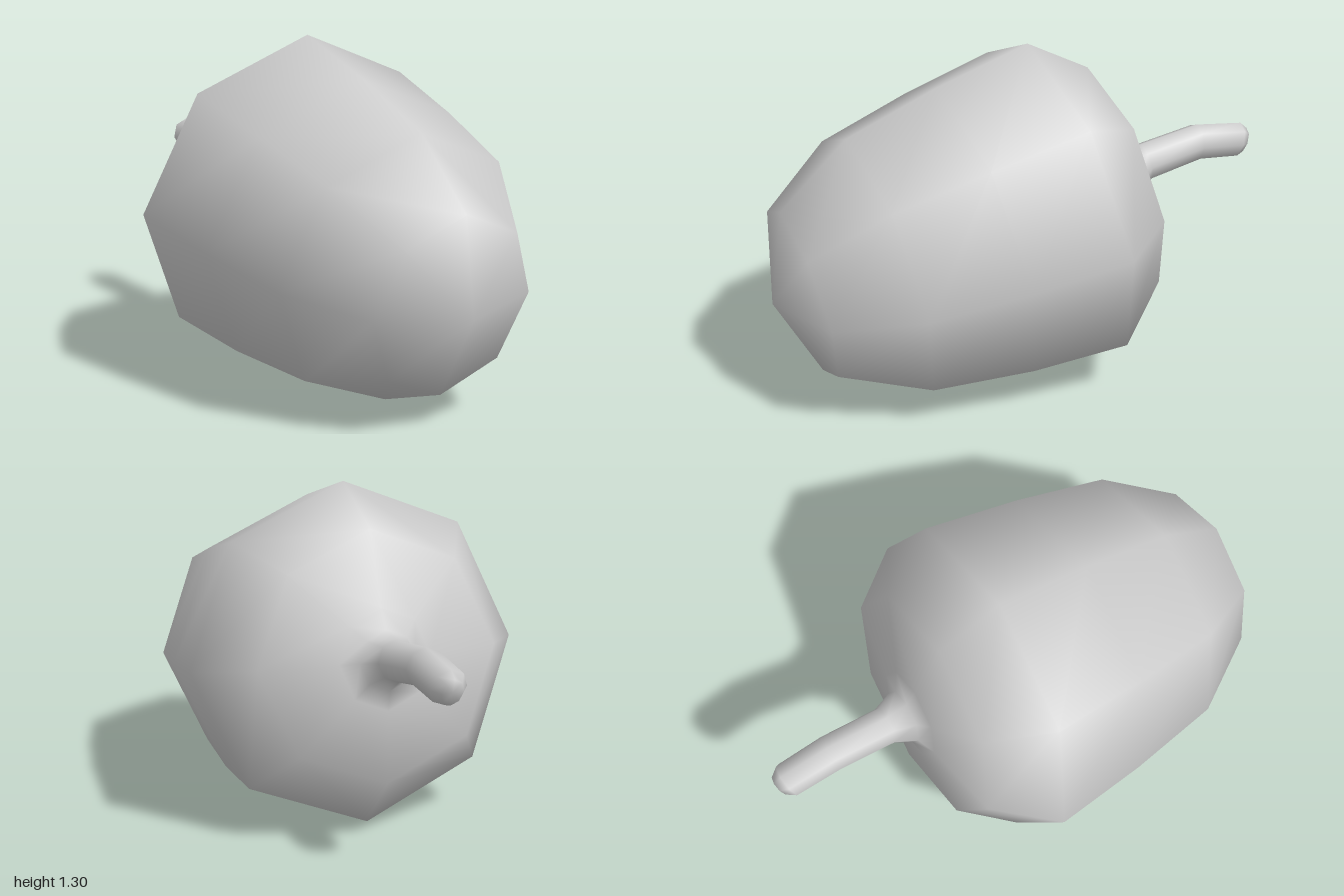
import * as THREE from 'three';

const SIDES = 8;

// Tilted cross-sections from front to back: [top z, top y, bottom z, bottom y, half width]
const FRUIT = [
  [0.95, 0.80, 0.82, 0.12, 0.34],
  [0.69, 1.04, 0.49, 0.005, 0.53],
  [0.34, 1.18, 0.10, 0.0, 0.60],
  [-0.03, 1.30, -0.27, 0.03, 0.65],
  [-0.28, 1.17, -0.46, 0.25, 0.47],
  [-0.395, 0.90, -0.46, 0.53, 0.18],
  [-0.435, 0.83, -0.475, 0.61, 0.11],
];
const STEM = [
  [-0.52, 0.815, -0.55, 0.665, 0.075],
  [-0.77, 0.857, -0.76, 0.71, 0.073],
  [-0.97, 0.832, -0.925, 0.695, 0.07],
  [-1.0, 0.805, -0.965, 0.705, 0.042],
];

export function createModel() {
  const group = new THREE.Group();
  group.name = 'stemmedFruit';
  const rings = [...FRUIT, ...STEM];

  // Points of every ring, then the front and stem end points
  const positions = [];
  for (const [tz, ty, bz, by, w] of rings) {
    for (let j = 0; j < SIDES; j++) {
      const a = (j / SIDES) * Math.PI * 2;
      const c = Math.cos(a);
      positions.push(
        w * Math.sin(a),
        (ty + by) / 2 + (c * (ty - by)) / 2,
        (tz + bz) / 2 + (c * (tz - bz)) / 2,
      );
    }
  }
  const front = rings.length * SIDES;
  const end = front + 1;
  positions.push(0, 0.44, 1.0, 0, 0.755, -0.983);

  const at = (i, j) => i * SIDES + (j % SIDES);
  const fruitFaces = [];
  const stemFaces = [];
  for (let j = 0; j < SIDES; j++) {
    fruitFaces.push(front, at(0, j + 1), at(0, j));
    for (let i = 0; i < rings.length - 1; i++) {
      const faces = i < FRUIT.length - 1 ? fruitFaces : stemFaces;
      faces.push(at(i, j), at(i, j + 1), at(i + 1, j));
      faces.push(at(i, j + 1), at(i + 1, j + 1), at(i + 1, j));
    }
    stemFaces.push(at(rings.length - 1, j), at(rings.length - 1, j + 1), end);
  }

  // Normals are worked out over the whole skin so fruit and stem blend smoothly
  const skin = new THREE.BufferGeometry();
  skin.setAttribute('position', new THREE.Float32BufferAttribute(positions, 3));
  skin.setIndex([...fruitFaces, ...stemFaces]);
  skin.computeVertexNormals();

  const material = new THREE.MeshStandardMaterial({ color: 0xcccccc });
  for (const [name, faces] of [['fruit', fruitFaces], ['stem', stemFaces]]) {
    const part = skin.clone();
    part.setIndex(faces);
    const mesh = new THREE.Mesh(part, material);
    mesh.name = name;
    group.add(mesh);
  }
  return group;
}
